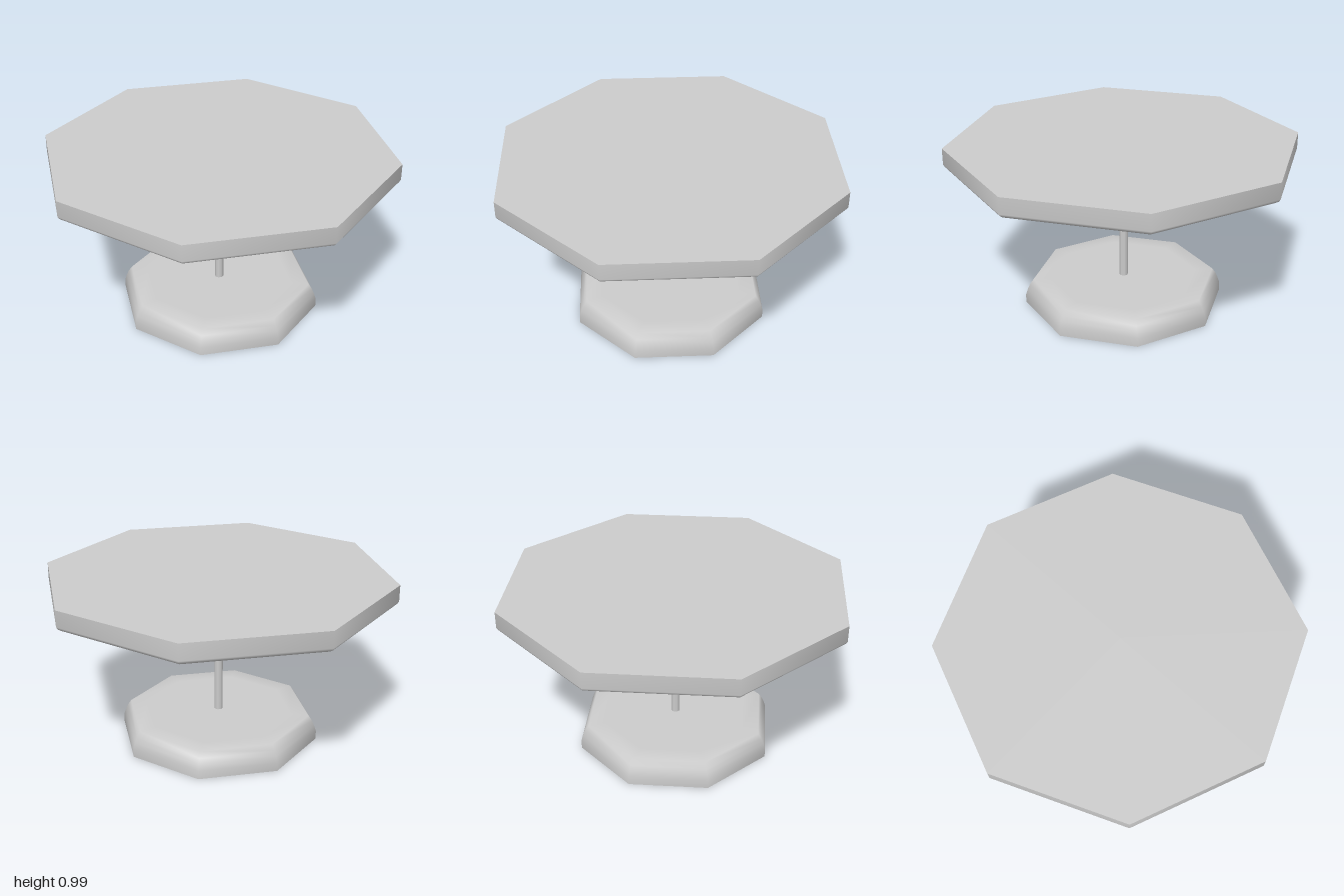
import * as THREE from 'three';

const SIDES = 8;
const material = new THREE.MeshStandardMaterial({ color: 0xcccccc });

// Octagonal turned part; each profile is one smooth run, with a hard edge between runs
function turned(name, ...profiles) {
  const part = new THREE.Group();
  part.name = name;
  profiles.forEach((profile, i) => {
    const points = profile.map(([r, y]) => new THREE.Vector2(r, y));
    const mesh = new THREE.Mesh(new THREE.LatheGeometry(points, SIDES), material);
    mesh.name = `${name}Surface${i + 1}`;
    part.add(mesh);
  });
  return part;
}

export function createModel() {
  const table = new THREE.Group();
  table.name = 'pedestalTable';

  // Heavy foot: flat bottom, sides curving softly into the top
  table.add(turned('base',
    [[0, 0], [0.58, 0]],
    [[0.58, 0], [0.58, 0.05], [0.568, 0.085], [0.555, 0.115], [0.533, 0.147], [0.43, 0.148], [0, 0.148]],
  ));

  // Slim stem, flared under the tabletop
  table.add(turned('stem',
    [[0.025, 0.145], [0.025, 0.2], [0.025, 0.76], [0.028, 0.8], [0.029, 0.84], [0.035, 0.865]],
  ));

  // Tabletop: bevelled lower rim, upright edge, flat top
  table.add(turned('tabletop',
    [[0, 0.862], [0.955, 0.862]],
    [[0.955, 0.862], [0.975, 0.867], [0.992, 0.878], [1, 0.892], [1, 0.985]],
    [[1, 0.985], [0, 0.985]],
  ));

  return table;
}
